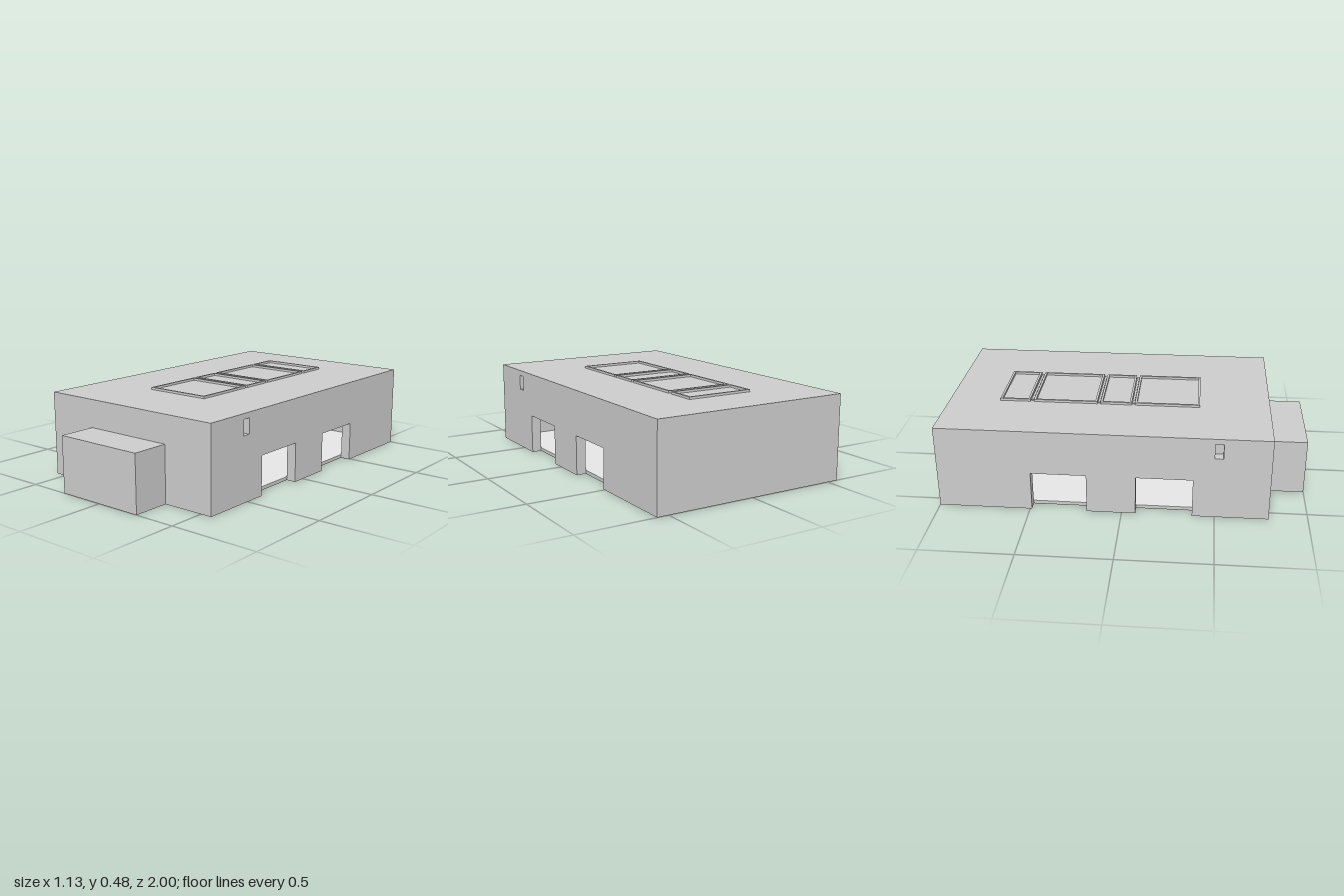
import * as THREE from 'three';

const stone = new THREE.MeshStandardMaterial({ color: 0xcccccc });
stone.name = 'stone';
const paleStone = new THREE.MeshStandardMaterial({ color: 0xe6e6e6 });
paleStone.name = 'paleStone';

// Box given by its limits on each axis
function block(parent, name, [x0, x1], [y0, y1], [z0, z1], material = stone) {
  const mesh = new THREE.Mesh(new THREE.BoxGeometry(x1 - x0, y1 - y0, z1 - z0), material);
  mesh.position.set((x0 + x1) / 2, (y0 + y1) / 2, (z0 + z1) / 2);
  mesh.name = name;
  parent.add(mesh);
  return mesh;
}

function part(parent, name) {
  const g = new THREE.Group();
  g.name = name;
  parent.add(g);
  return g;
}

// One course of stones laid between consecutive joints, leaving out the gaps
function course(parent, axis, joints, y, depth, gaps = []) {
  for (let i = 0; i + 1 < joints.length; i++) {
    const span = [joints[i], joints[i + 1]];
    const mid = (span[0] + span[1]) / 2;
    if (gaps.some(([a, b]) => mid > a && mid < b)) continue;
    if (axis === 'x') block(parent, 'wallStone', span, y, depth);
    else block(parent, 'wallStone', depth, y, span);
  }
}

const W = 0.565, T = 0.055, FRONT = 0.79, BACK = -1;
const LEVELS = [0, 0.045, 0.13, 0.22, 0.285, 0.355, 0.44];

export function createModel() {
  const model = new THREE.Group();
  model.name = 'stoneBuilding';

  // Front and back walls
  const endJoints = [
    [-W, W],
    [-W, W],
    [-W, -0.375, 0, 0.375, W],
    [-W, -0.375, 0, 0.375, W],
    [-W, -0.375, -0.18, 0.18, 0.375, W],
    [-W, -0.285, 0, 0.285, W],
  ];
  for (const [name, depth] of [['frontWall', [FRONT - T, FRONT]], ['backWall', [BACK, BACK + T]]]) {
    const wall = part(model, name);
    endJoints.forEach((j, i) => course(wall, 'x', j, [LEVELS[i], LEVELS[i + 1]], depth));
  }

  // Side walls with two openings and a narrow slot high up
  const a = BACK + T, b = FRONT - T;
  const doors = [[-0.49, -0.19], [0.075, 0.38]];
  const slot = [[0.49, 0.535]];
  const sideRows = [
    [[a, -0.49, -0.19, -0.13, 0.02, 0.075, 0.38, b], doors],
    [[a, -0.49, -0.19, -0.13, 0.02, 0.075, 0.38, b], doors],
    [[a, -0.79, -0.64, -0.49, -0.19, -0.06, 0.075, 0.38, 0.555, b], doors],
    [[a, -0.79, -0.64, -0.49, -0.33, -0.19, -0.06, 0.075, 0.22, 0.38, 0.555, b], []],
    [[a, -0.86, -0.56, -0.4, -0.26, -0.12, 0.01, 0.15, 0.29, 0.47, b], []],
    [[a, 0.49, 0.535, b], slot],
  ];
  for (const s of [-1, 1]) {
    const wall = part(model, s > 0 ? 'leftWall' : 'rightWall');
    const depth = s > 0 ? [W - T, W] : [-W, T - W];
    sideRows.forEach(([j, gaps], i) => course(wall, 'z', j, [LEVELS[i], LEVELS[i + 1]], depth, gaps));
    // closing stone behind the slot
    const inner = s > 0 ? [W - T - 0.03, W - T] : [T - W, T - W + 0.03];
    block(wall, 'slotBacking', inner, [0.34, 0.44], [0.46, 0.565]);
  }

  // Floor slabs between the walls, in a tiled grid
  const floor = part(model, 'floor');
  const nx = 4, nz = 7, fw = 2 * (W - T) / nx, fl = (b - a) / nz;
  for (let i = 0; i < nx; i++) {
    for (let k = 0; k < nz; k++) {
      const x = T - W + i * fw, z = a + k * fl;
      block(floor, 'floorSlab', [x, x + fw], [0, 0.018], [z, z + fl]);
    }
  }
  block(floor, 'floorPaving', [T - W, W - T], [0.018, 0.02], [a, b], paleStone);

  // Roof in three long slabs
  const roof = part(model, 'roof');
  for (const span of [[-W, -0.18], [-0.18, 0.18], [0.18, W]]) {
    block(roof, 'roofSlab', span, [0.44, 0.47], [BACK, FRONT]);
  }

  // Raised rims along the middle of the roof
  const R = 0.193, rim = 0.012;
  for (const [z0, z1] of [[0.042, 0.402], [-0.15, 0.025], [-0.525, -0.168], [-0.715, -0.545]]) {
    const shape = new THREE.Shape();
    shape.moveTo(-R, -z1).lineTo(R, -z1).lineTo(R, -z0).lineTo(-R, -z0).closePath();
    const hole = new THREE.Path();
    hole.moveTo(-R + rim, -z1 + rim).lineTo(-R + rim, -z0 - rim)
      .lineTo(R - rim, -z0 - rim).lineTo(R - rim, -z1 + rim).closePath();
    shape.holes.push(hole);
    const geometry = new THREE.ExtrudeGeometry(shape, { depth: 0.013, bevelEnabled: false });
    const frame = new THREE.Mesh(geometry.rotateX(-Math.PI / 2), stone);
    frame.position.y = 0.47;
    frame.name = 'roofRim';
    roof.add(frame);
  }
  // low bars between neighbouring rims
  for (const z of [0.0335, -0.159, -0.535]) {
    block(roof, 'rimBar', [-0.18, 0.18], [0.47, 0.476], [z - 0.006, z + 0.006]);
  }

  // Hollow front annex with a flush cap
  const annex = part(model, 'frontAnnex');
  const A = 0.265;
  const annexRows = [
    [[0, 0.09], [-A, A]],
    [[0.09, 0.19], [-A, -0.135, 0, 0.135, A]],
    [[0.19, 0.315], [-A, -0.135, 0, 0.135, A]],
  ];
  annexRows.forEach(([y, joints], i) => {
    course(annex, 'x', joints, y, [0.94, 1]);
    for (const depth of [[-A, T - A], [A - T, A]]) {
      course(annex, 'z', i ? [FRONT, 0.865, 0.94] : [FRONT, 0.94], y, depth);
    }
  });
  block(annex, 'annexCap', [T - A, A - T], [0.28, 0.315], [FRONT, 0.94]);

  return model;
}
